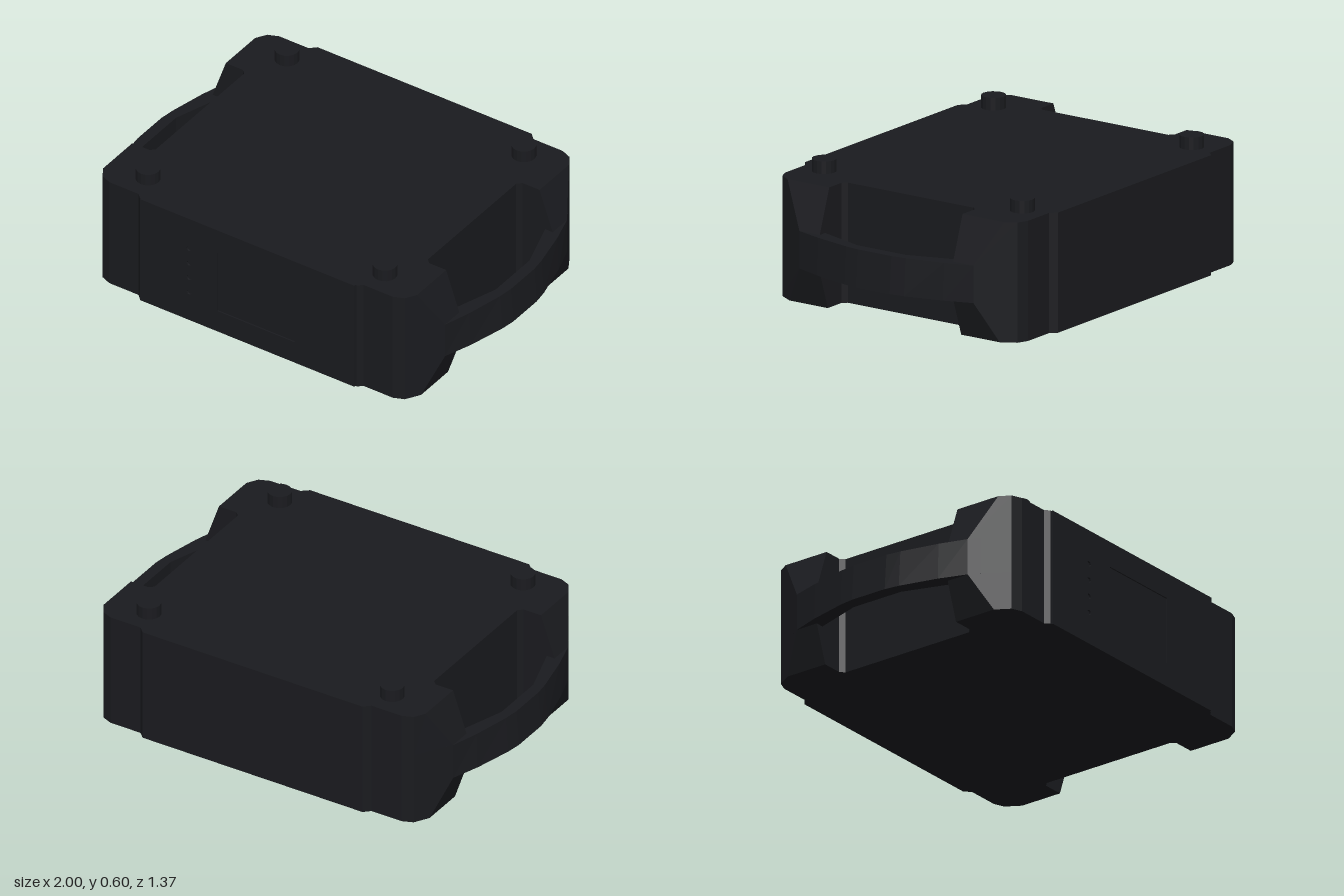
import * as THREE from 'three';

const material = new THREE.MeshStandardMaterial({ color: 0x1a1b1f, flatShading: true });
const HEIGHT = 0.545;

// Skins a stack of plan outlines ([x, z] points, one per height) and caps both ends.
function loft(layers) {
  const rings = layers.map(({ y, outline }) => {
    const flat = outline.map(([x, z]) => new THREE.Vector2(x, z));
    if (THREE.ShapeUtils.isClockWise(flat)) flat.reverse();
    return { y, flat };
  });
  const positions = [];
  const put = (ring, i) => positions.push(ring.flat[i].x, ring.y, ring.flat[i].y);
  const count = rings[0].flat.length;

  for (let k = 0; k < rings.length - 1; k++) {
    const lower = rings[k], upper = rings[k + 1];
    for (let i = 0; i < count; i++) {
      const j = (i + 1) % count;
      put(lower, i); put(upper, i); put(lower, j);
      put(lower, j); put(upper, i); put(upper, j);
    }
  }

  const cap = (ring, faceDown) => {
    for (const [a, b, c] of THREE.ShapeUtils.triangulateShape(ring.flat, [])) {
      const counterClockwise = THREE.ShapeUtils.area([ring.flat[a], ring.flat[b], ring.flat[c]]) > 0;
      const order = counterClockwise === faceDown ? [a, b, c] : [a, c, b];
      order.forEach((i) => put(ring, i));
    }
  };
  cap(rings[0], true);
  cap(rings[rings.length - 1], false);

  const geometry = new THREE.BufferGeometry();
  geometry.setAttribute('position', new THREE.Float32BufferAttribute(positions, 3));
  geometry.computeVertexNormals();
  return geometry;
}

// Plan of the case; endX and endZ give the corner lug's outermost edge at this height.
function caseOutline(endX, endZ) {
  const corner = (middle) => [
    middle, [0.595, 0.655], [0.75, 0.655], [0.80, 0.635],
    [endX, endZ], [endX, 0.36], [0.74, 0.36], [0.72, 0.34],
  ];
  const front = corner([0.575, 0.675]);
  const back = corner([0.567, 0.683]);
  const flip = (points, sx, sz) => points.map(([x, z]) => [x * sx, z * sz]);
  return [
    ...front,
    ...flip(back, 1, -1).reverse(),
    ...flip(back, -1, -1),
    ...flip(front, -1, 1).reverse(),
  ];
}

// Plan of one bowed grip; the outer face leans in by the given amount.
function handleOutline(side, lean) {
  const outer = [[0.87, 0.52], [0.90, 0.47], [0.945, 0.34], [0.99, 0.16], [1.0, 0.09]];
  const inner = [[0.86, 0.45], [0.86, 0.36], [0.935, 0.13]];
  const mirrored = (points) => points.map(([x, z]) => [x, -z]).reverse();
  const outerArc = [...outer, ...mirrored(outer)]
    .map(([x, z]) => [x - lean * Math.max(0, (x - 0.9) / 0.1), z]);
  const innerArc = [...inner, ...mirrored(inner)].reverse();
  return [...outerArc, ...innerArc].map(([x, z]) => [x * side, z]);
}

export function createModel() {
  const model = new THREE.Group();
  const add = (name, geometry, x = 0, y = 0, z = 0) => {
    const mesh = new THREE.Mesh(geometry, material);
    mesh.name = name;
    mesh.position.set(x, y, z);
    model.add(mesh);
    return mesh;
  };

  // Case with slanted corner lugs and a slot at each end
  add('case', loft([
    { y: 0, outline: caseOutline(0.84, 0.568) },
    { y: 0.175, outline: caseOutline(0.90, 0.47) },
    { y: 0.345, outline: caseOutline(0.90, 0.47) },
    { y: HEIGHT, outline: caseOutline(0.83, 0.585) },
  ]));

  // Grips
  for (const side of [-1, 1]) {
    add(side > 0 ? 'leftHandle' : 'rightHandle', loft([
      { y: 0.175, outline: handleOutline(side, 0) },
      { y: 0.345, outline: handleOutline(side, 0.013) },
    ]));
  }

  // Front plate with a display window and four indicator holes
  const plate = new THREE.Shape([
    new THREE.Vector2(-0.567, 0), new THREE.Vector2(0.567, 0),
    new THREE.Vector2(0.567, HEIGHT), new THREE.Vector2(-0.567, HEIGHT),
  ]);
  plate.holes.push(new THREE.Path([
    new THREE.Vector2(-0.16, 0.11), new THREE.Vector2(-0.16, 0.425),
    new THREE.Vector2(0.25, 0.425), new THREE.Vector2(0.25, 0.11),
  ]));
  for (const y of [0.15, 0.228, 0.306, 0.384]) {
    plate.holes.push(new THREE.Path().absarc(-0.308, y, 0.013, 0, Math.PI * 2, true));
  }
  add('frontPlate', new THREE.ExtrudeGeometry(plate, {
    depth: 0.008, bevelEnabled: false, curveSegments: 4,
  }), 0, 0, 0.675);
  add('display', new THREE.BoxGeometry(0.41, 0.315, 0.004), 0.045, 0.2675, 0.675);

  // Stacking studs on top
  for (const x of [-0.627, 0.627]) {
    for (const z of [-0.535, 0.535]) {
      add('stud', new THREE.CylinderGeometry(0.055, 0.055, 0.065, 16), x, 0.5695, z);
    }
  }
  return model;
}
